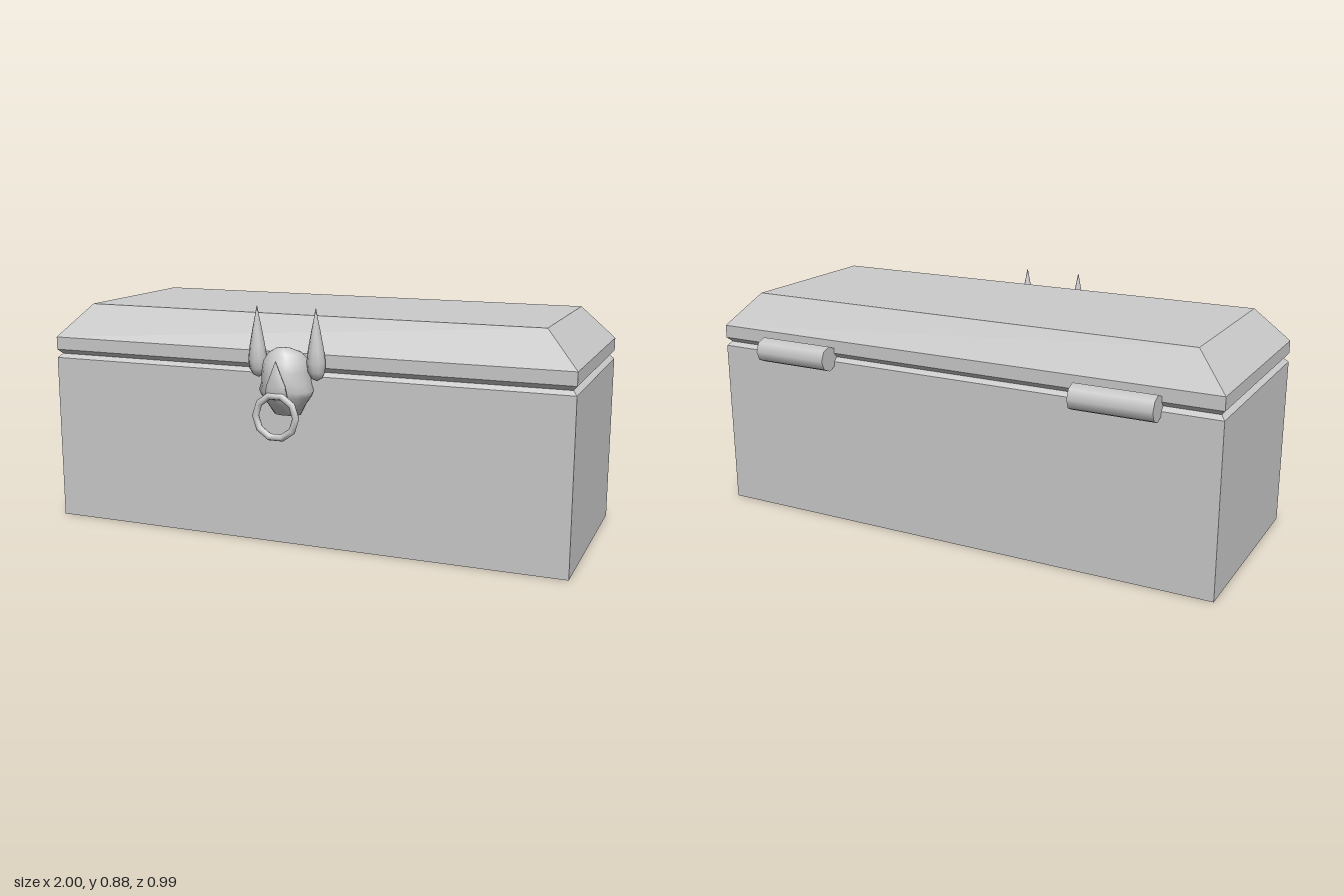
import * as THREE from 'three';

const mat = (opts = {}) => new THREE.MeshStandardMaterial({ color: 0xcccccc, ...opts });

function add(parent, name, geo, material, x = 0, y = 0, z = 0) {
  const mesh = new THREE.Mesh(geo, material);
  mesh.name = name;
  mesh.position.set(x, y, z);
  parent.add(mesh);
  return mesh;
}

// Closed solid from stacked rectangles: [y, half width, back z, front z]
function rectLoft(rows) {
  const pos = [], idx = [];
  for (const [y, w, zb, zf] of rows) pos.push(-w, y, zf, w, y, zf, w, y, zb, -w, y, zb);
  const last = (rows.length - 1) * 4;
  for (let r = 0; r < last; r += 4) {
    for (let i = 0; i < 4; i++) {
      const a = r + i, b = r + (i + 1) % 4;
      idx.push(a, b, b + 4, a, b + 4, a + 4);
    }
  }
  idx.push(0, 2, 1, 0, 3, 2, last, last + 1, last + 2, last, last + 2, last + 3);
  const indexed = new THREE.BufferGeometry();
  indexed.setAttribute('position', new THREE.Float32BufferAttribute(pos, 3));
  indexed.setIndex(idx);
  const geo = indexed.toNonIndexed();
  geo.computeVertexNormals();
  return geo;
}

// Rounded solid from oval sections: [y, half width, half depth, centre z]
function ovalLoft(rows, sides) {
  const geo = new THREE.LatheGeometry(rows.map(([y, w]) => new THREE.Vector2(w, y)), sides);
  const p = geo.attributes.position;
  for (let i = 0; i < p.count; i++) {
    const [, w, d, cz] = rows[i % rows.length];
    p.setZ(i, cz + p.getZ(i) * d / w);
  }
  geo.computeVertexNormals();
  // Match the normals across the seam
  const n = geo.attributes.normal, end = rows.length * sides;
  for (let j = 0; j < rows.length; j++) {
    const v = new THREE.Vector3().fromBufferAttribute(n, j)
      .add(new THREE.Vector3().fromBufferAttribute(n, end + j)).normalize();
    n.setXYZ(j, v.x, v.y, v.z);
    n.setXYZ(end + j, v.x, v.y, v.z);
  }
  return geo;
}

export function createModel() {
  const model = new THREE.Group();
  model.name = 'chest';
  const flat = mat({ flatShading: true });
  const smooth = mat();

  // Box and bevelled lid, meeting in a narrow groove
  add(model, 'chestBody', rectLoft([
    [0, 1, -0.415, 0.367], [0.63, 1, -0.415, 0.367], [0.645, 0.985, -0.4, 0.352],
  ]), flat);
  add(model, 'lid', rectLoft([
    [0.645, 0.985, -0.4, 0.352], [0.662, 1, -0.415, 0.367],
    [0.71, 1, -0.415, 0.367], [0.835, 0.88, -0.335, 0.287],
  ]), flat);

  // Octagonal hinge barrels at the back
  for (const side of [-1, 1]) {
    const geo = new THREE.CylinderGeometry(0.047, 0.047, 0.3, 8).rotateZ(Math.PI / 2);
    add(model, side > 0 ? 'leftHinge' : 'rightHinge', geo, smooth, side * 0.64, 0.647, -0.446);
  }

  // Horned head on the front, slightly off centre
  const clasp = new THREE.Group();
  clasp.name = 'hornedClasp';
  clasp.position.x = -0.02;
  model.add(clasp);

  add(clasp, 'head', ovalLoft([
    [0.49, 0.001, 0.001, 0.385], [0.491, 0.05, 0.035, 0.38], [0.53, 0.07, 0.065, 0.385],
    [0.56, 0.092, 0.08, 0.387], [0.58, 0.1, 0.088, 0.387], [0.61, 0.09, 0.091, 0.387],
    [0.65, 0.088, 0.09, 0.387], [0.685, 0.082, 0.077, 0.39], [0.715, 0.06, 0.052, 0.398],
    [0.732, 0.028, 0.024, 0.412], [0.736, 0.001, 0.001, 0.416],
  ], 16), smooth);

  for (const side of [-1, 1]) {
    const s = side;
    const geo = ovalLoft([
      [0.618, 0.001, 0.001, 0.382], [0.627, 0.019, 0.018, 0.383], [0.65, 0.031, 0.029, 0.386],
      [0.685, 0.034, 0.033, 0.387], [0.73, 0.028, 0.03, 0.388], [0.79, 0.017, 0.02, 0.388],
      [0.84, 0.007, 0.009, 0.388], [0.875, 0.001, 0.001, 0.388],
    ], 10);
    add(clasp, s > 0 ? 'leftHorn' : 'rightHorn', geo, smooth, s * 0.113);
  }

  // Pointed nose plate carrying the ring
  add(clasp, 'nosePlate', ovalLoft([
    [0.555, 0.001, 0.001, 0.48], [0.572, 0.045, 0.009, 0.48], [0.61, 0.036, 0.013, 0.48],
    [0.65, 0.019, 0.009, 0.481], [0.696, 0.001, 0.001, 0.481],
  ], 10), smooth);
  add(clasp, 'noseRing', new THREE.TorusGeometry(0.077, 0.013, 8, 10), smooth, 0, 0.5, 0.485);

  return model;
}
